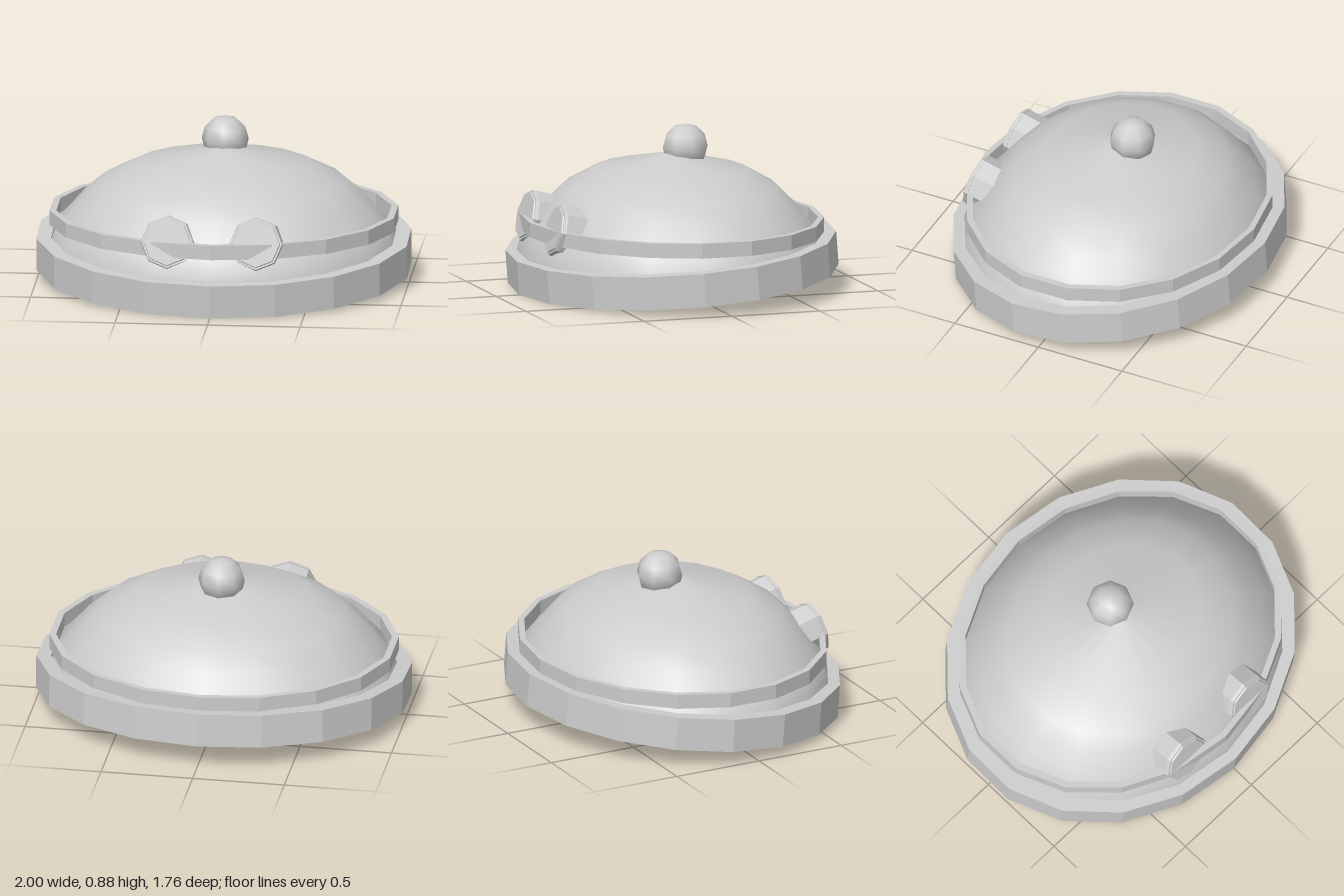
import * as THREE from 'three';

const SIDES = 18;
const DEPTH = 0.864; // front-to-back squash of the oval plan

const grey = new THREE.MeshStandardMaterial({ color: 0xcccccc, side: THREE.DoubleSide });
grey.name = 'light grey';

function add(parent, name, geometry, x = 0, y = 0, z = 0) {
  const mesh = new THREE.Mesh(geometry, grey);
  mesh.name = name;
  mesh.position.set(x, y, z);
  parent.add(mesh);
  return mesh;
}

function flat(geometry) {
  const g = geometry.index ? geometry.toNonIndexed() : geometry;
  g.computeVertexNormals();
  return g;
}

function lathe(points) {
  return new THREE.LatheGeometry(points.map(([r, y]) => new THREE.Vector2(r, y)), SIDES);
}

// Faceted oval hoop with a rectangular section
function hoop(outer, inner, height, depth) {
  const h = height / 2;
  const g = lathe([[outer, -h], [outer, h], [inner, h], [inner, -h], [outer, -h]]);
  g.scale(1, 1, depth);
  return flat(g);
}

export function createModel() {
  const model = new THREE.Group();
  model.name = 'cap';

  // Smooth thick crown: lining from the apex down, round the rim, then up the outside
  const crown = lathe([
    [0, 0.67], [0.445, 0.588], [0.625, 0.5], [0.718, 0.425], [0.785, 0.35],
    [0.86, 0.27], [0.885, 0.18], [0.908, 0.1],
    [0.962, 0.138], [0.945, 0.2], [0.91, 0.3], [0.825, 0.39],
    [0.76, 0.465], [0.66, 0.55], [0.47, 0.643], [0, 0.738],
  ]);
  crown.scale(1, 1, DEPTH);
  add(model, 'crown', crown, 0, 0, 0.003);

  // Thick brim, dipping toward the front
  const brim = add(model, 'brim', hoop(1.015, 0.935, 0.183, DEPTH), 0, 0.159, 0);
  brim.rotation.x = 0.077;

  // Goggle strap, standing clear of the crown
  add(model, 'strap', hoop(0.944, 0.907, 0.08, 0.853), 0, 0.35, 0.002);

  // Pompom
  add(model, 'pompom', new THREE.SphereGeometry(0.127, 8, 6), 0, 0.758, -0.075);

  // Goggles leaning back on the front of the crown
  for (const side of [-1, 1]) {
    const goggle = new THREE.Group();
    goggle.name = side > 0 ? 'leftGoggle' : 'rightGoggle';
    goggle.position.set(side * 0.24, 0.387, 0.737);
    goggle.rotation.x = -0.26;
    model.add(goggle);
    const disc = (name, front, back, length, z) => {
      const g = flat(new THREE.CylinderGeometry(front, back, length, 8));
      g.rotateX(Math.PI / 2);
      add(goggle, name, g, 0, 0, z);
    };
    disc('eyecup', 0.142, 0.142, 0.175, -0.0925);
    disc('lensRim', 0.14, 0.145, 0.02, 0.002);
    disc('lens', 0.126, 0.13, 0.008, 0.015);
  }

  return model;
}
